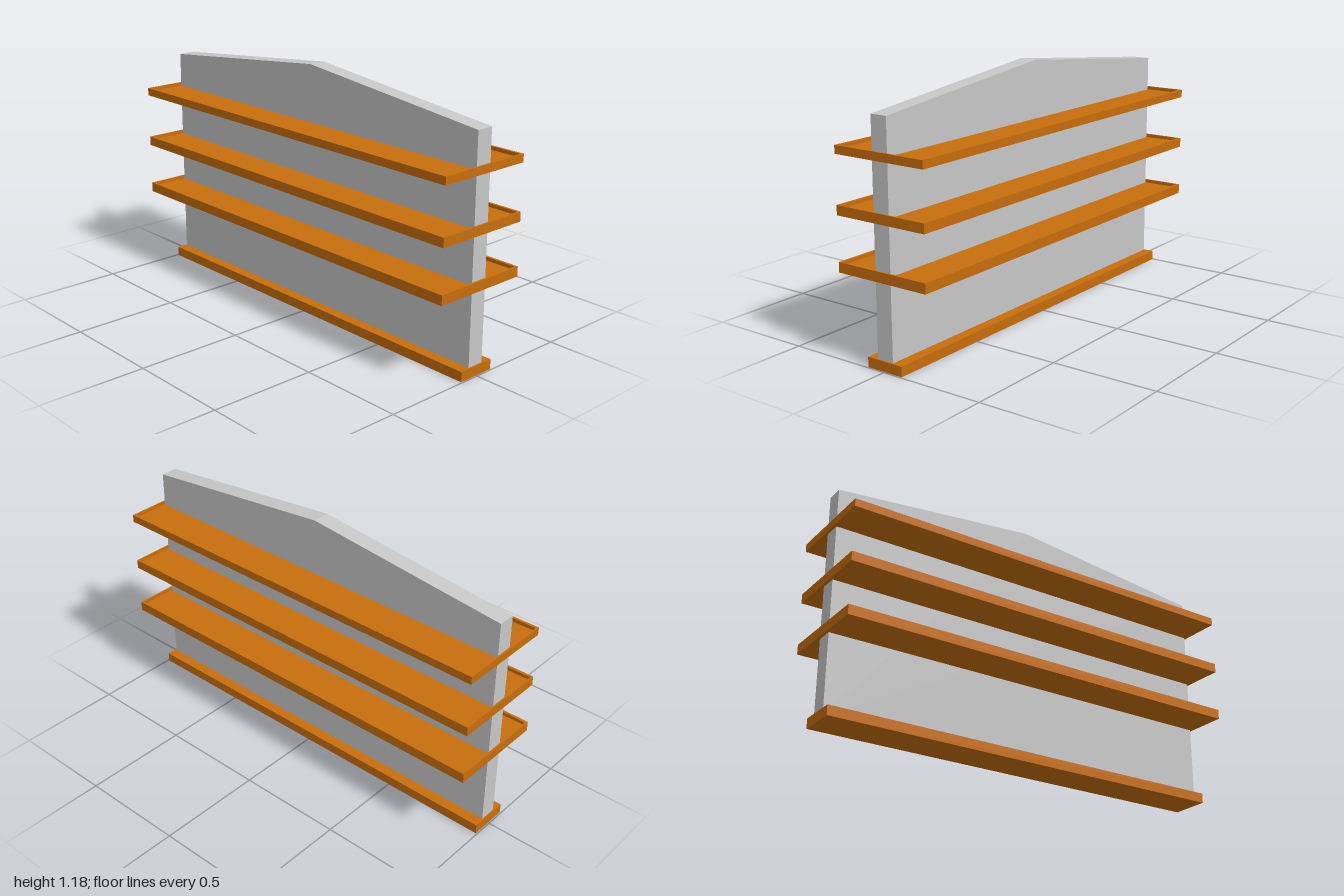
import * as THREE from 'three';

const orange = new THREE.MeshStandardMaterial({ color: 0xc86e0c });
orange.name = 'orange shelf';
const grey = new THREE.MeshStandardMaterial({ color: 0xc8c8c8 });
grey.name = 'light grey panel';

function box(name, w, h, d, x, y, z) {
  const mesh = new THREE.Mesh(new THREE.BoxGeometry(w, h, d), orange);
  mesh.name = name;
  mesh.position.set(x, y, z);
  return mesh;
}

// Shallow tray: a floor with a thin raised lip on all four sides
function shelf(bottom, top) {
  const group = new THREE.Group();
  group.name = 'shelf';
  const halfX = 1, halfZ = 0.236, lip = 0.013, endLip = 0.008;
  const h = top - bottom, floorH = h - 0.016, mid = h / 2;
  group.add(box('shelfFloor', 2 * (halfX - endLip), floorH, 2 * (halfZ - lip), 0, floorH / 2, 0));
  for (const s of [-1, 1]) {
    group.add(box('longLip', 2 * halfX, h, lip, 0, mid, s * (halfZ - lip / 2)));
    group.add(box('endLip', endLip, h, 2 * (halfZ - lip), s * (halfX - endLip / 2), mid, 0));
  }
  group.position.y = bottom;
  return group;
}

export function createModel() {
  const model = new THREE.Group();
  model.name = 'doubleSidedShelfUnit';

  // Upright centre panel with a gently peaked top
  const outline = new THREE.Shape([
    [-0.988, 0.02], [0.988, 0.02], [0.988, 1.075], [0, 1.18], [-0.988, 1.075],
  ].map(([x, y]) => new THREE.Vector2(x, y)));
  const panelGeo = new THREE.ExtrudeGeometry(outline, { depth: 0.082, bevelEnabled: false });
  panelGeo.translate(0, 0, -0.041);
  const panel = new THREE.Mesh(panelGeo, grey);
  panel.name = 'centrePanel';
  model.add(panel);

  // Plinth
  model.add(box('base', 1.988, 0.046, 0.184, 0, 0.023, 0));

  // Three shelves passing through the panel
  for (const [bottom, top] of [[0.386, 0.432], [0.632, 0.676], [0.89, 0.927]]) {
    model.add(shelf(bottom, top));
  }
  return model;
}
